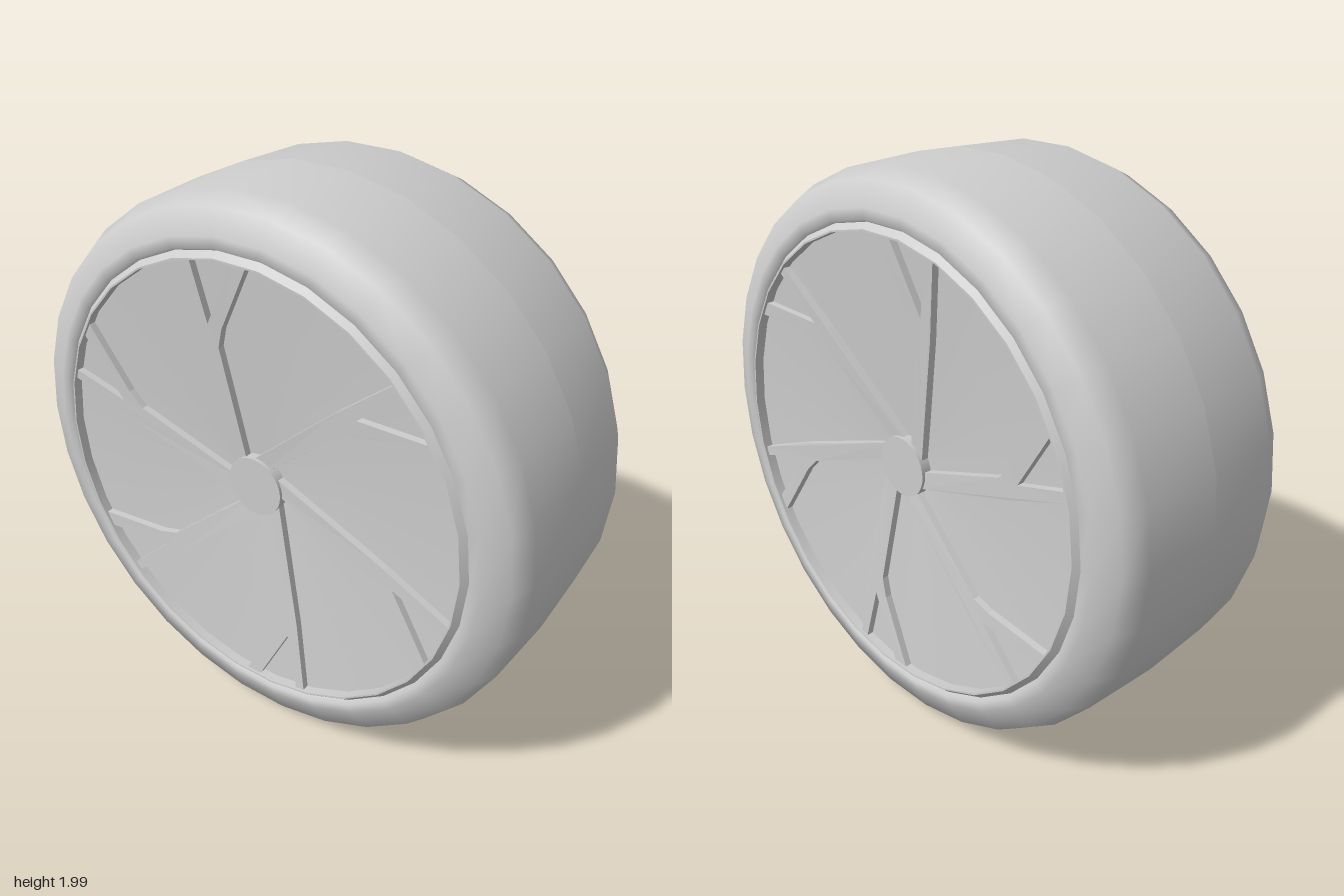
import * as THREE from 'three';

const SEGMENTS = 30;
const OUTER_R = 0.8;
const DISC_CENTRE = 0.325; // dished cover: distance from the mid plane at the hub
const DISC_EDGE = 0.385; // and at the rim
const SLOPE = (DISC_EDGE - DISC_CENTRE) / OUTER_R;
const SPOKE_HEIGHT = 0.025;

export function createModel() {
  const grey = new THREE.MeshStandardMaterial({ color: 0xcccccc });
  grey.name = 'light grey';
  const wheel = new THREE.Group();
  wheel.name = 'wheel';

  const add = (parent, name, geometry) => {
    const mesh = new THREE.Mesh(geometry, grey);
    mesh.name = name;
    parent.add(mesh);
  };

  // Surface of revolution around the x axis from [radius, offset] points
  const revolve = (points, s) => {
    const profile = points.map(([r, h]) => new THREE.Vector2(r, h));
    return new THREE.LatheGeometry(profile, SEGMENTS).rotateZ(-s * Math.PI / 2);
  };

  // Forked spoke outline, seen face on
  const spokeOutline = [
    [0.03, 0.03], [0.042, 0.1], [0.11, 0.49], [0.09, 0.56], [-0.033, 0.8],
    [0.025, 0.8], [0.145, 0.565], [0.192, 0.777], [0.225, 0.768], [0.183, 0.5], [0.088, 0.03],
  ];

  for (const s of [1, -1]) {
    const side = new THREE.Group();
    side.name = s > 0 ? 'leftSide' : 'rightSide';
    wheel.add(side);

    // Rounded tyre half
    add(side, 'tyre', revolve([
      [1, 0], [0.988, 0.3], [0.953, 0.378], [0.87, 0.41], [0.835, 0.415], [0.82, 0.39],
    ], s));

    // Rim lip: chamfer, crest and inner wall kept as separate strips for sharp edges
    add(side, 'rimChamfer', revolve([[0.832, 0.39], [0.806, 0.42]], s));
    add(side, 'rimCrest', revolve([[0.806, 0.42], [OUTER_R, 0.42]], s));
    add(side, 'rimInnerWall', revolve([[OUTER_R, 0.42], [OUTER_R, DISC_EDGE]], s));

    // Dished cover
    add(side, 'coverDisc', revolve([[OUTER_R, DISC_EDGE], [0, DISC_CENTRE]], s));

    // Six raised forked spokes following the dish, mirrored between the sides
    for (let i = 0; i < 6; i++) {
      const turn = i * Math.PI / 3;
      const shape = new THREE.Shape(spokeOutline.map(([u, v]) =>
        new THREE.Vector2(u * s, v).rotateAround(new THREE.Vector2(), turn)));
      const depth = SPOKE_HEIGHT + 0.02;
      const geometry = new THREE.ExtrudeGeometry(shape, { depth, bevelEnabled: false });
      const p = geometry.attributes.position;
      for (let j = 0; j < p.count; j++) {
        const r = Math.hypot(p.getX(j), p.getY(j));
        p.setZ(j, p.getZ(j) + DISC_CENTRE - 0.02 + SLOPE * r);
      }
      geometry.computeVertexNormals();
      add(side, 'spoke', geometry.rotateY(s * Math.PI / 2));
    }

    // Hub cap
    const hub = new THREE.CylinderGeometry(0.107, 0.107, 0.06, SEGMENTS);
    hub.translate(0, 0.34, 0).rotateZ(-s * Math.PI / 2);
    add(side, 'hubCap', hub);
  }

  // Stand on the flat of the lowest facet
  wheel.position.y = Math.cos(Math.PI / SEGMENTS);
  return wheel;
}
